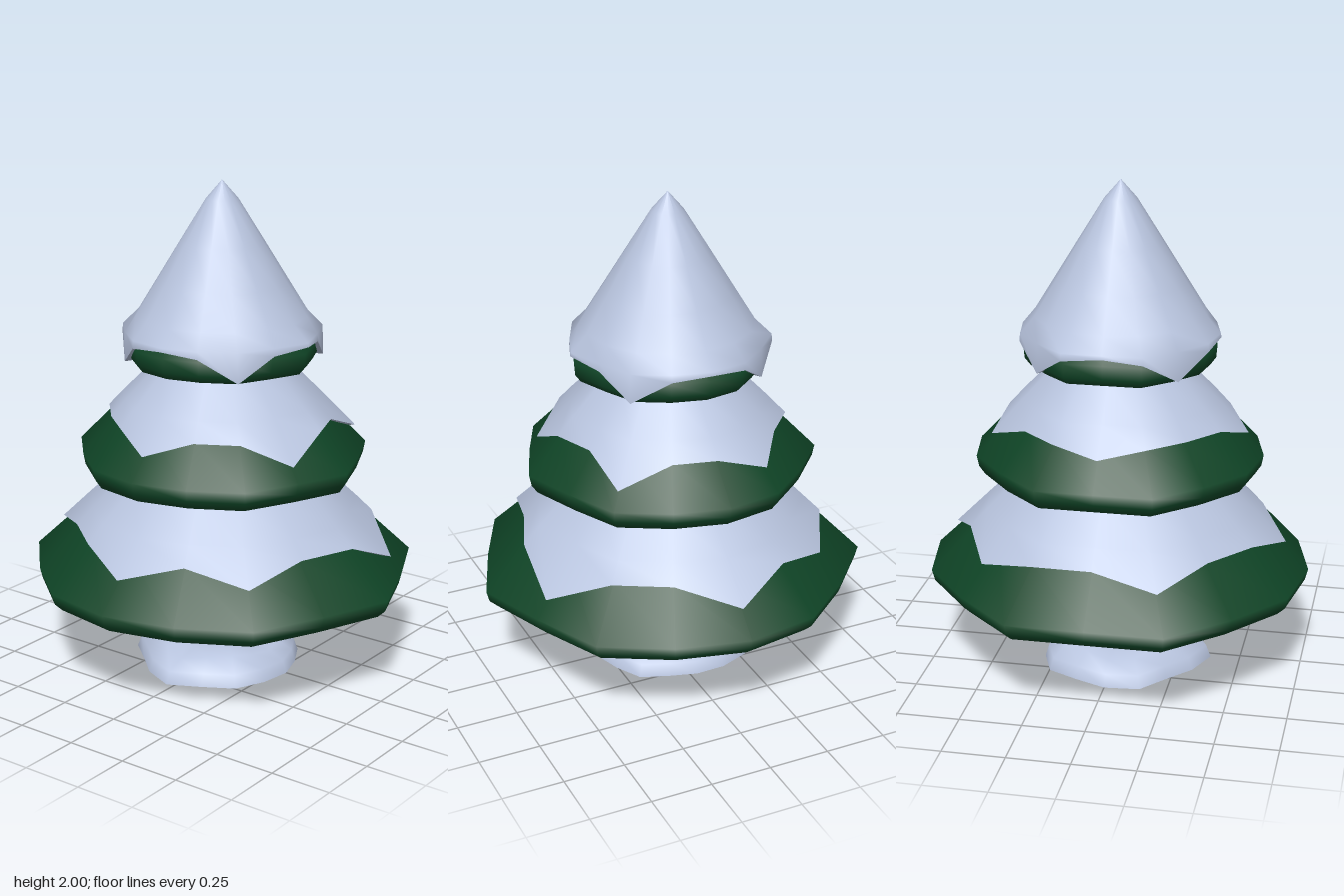
import * as THREE from 'three';

const SIDES = 16;
const AXIS_X = -0.03;

// Relative radius of the uneven outline, mirrored front to back
const HALF = [1, 0.932, 0.988, 0.95, 0.965, 0.975, 0.94, 1, 0.925];
const wobble = k => HALF[k <= 8 ? k : 16 - k];

// Skin a stack of rings (top to bottom); each ring is k => [radius, y]
function loft(rings) {
  const pos = [], idx = [];
  rings.forEach((ring, i) => {
    for (let k = 0; k < SIDES; k++) {
      const [r, y] = ring(k), a = (k / SIDES) * Math.PI * 2;
      pos.push(r * Math.cos(a), y, r * Math.sin(a));
      if (i === rings.length - 1) continue;
      const p = i * SIDES + k, q = i * SIDES + (k + 1) % SIDES;
      idx.push(p, q, p + SIDES, q, q + SIDES, p + SIDES);
    }
  });
  const g = new THREE.BufferGeometry();
  g.setAttribute('position', new THREE.Float32BufferAttribute(pos, 3));
  g.setIndex(idx);
  g.computeVertexNormals();
  return g;
}

const uneven = (r, y) => k => [r * wobble(k), y];
const round = (r, y) => () => [r, y];

export function createModel() {
  const snow = new THREE.MeshStandardMaterial({ color: 0xb9c5df, side: THREE.DoubleSide });
  snow.name = 'snow';
  const needles = new THREE.MeshStandardMaterial({ color: 0x0f4426 });
  needles.name = 'pine green';
  const bark = new THREE.MeshStandardMaterial({ color: 0x410e0e });
  bark.name = 'bark';

  const tree = new THREE.Group();
  tree.name = 'snowyTree';
  const add = (name, geometry, material) => {
    const m = new THREE.Mesh(geometry, material);
    m.name = name;
    m.position.x = AXIS_X;
    tree.add(m);
    return m;
  };

  // Two lower tiers: a sloping skirt of branches with a jagged snow blanket
  const tiers = [
    { name: 'lower', r: 0.8, bottom: 0.355, rim: 0.43, slope: 1.0625, top: 1.0, edge: 0.61,
      dips: { 2: 0.555, 4: 0.545, 7: 0.56, 10: 0.55, 12: 0.53, 15: 0.5 } },
    { name: 'middle', r: 0.6, bottom: 0.83, rim: 0.91, slope: 0.986, top: 1.4, edge: 1.06,
      dips: { 1: 0.97, 4: 1.0, 8: 1.02, 11: 1.0, 14: 0.98 } },
  ];
  for (const t of tiers) {
    const radius = y => t.r - (y - t.rim) * t.slope;
    add(t.name + 'Branches', loft([
      round(0, t.top),
      uneven(radius(t.top), t.top),
      uneven(radius(t.edge), t.edge),
      uneven(t.r, t.rim),
      uneven(t.r * 0.985, t.rim - 0.045),
      uneven(t.r * 0.945, t.bottom),
      uneven(t.r * 0.8, t.bottom),
      round(0, t.bottom),
    ]), needles);

    const edgeY = k => t.dips[k] ?? t.edge;
    const cover = (y, off, k) => [radius(y) * wobble(k) + off, y];
    add(t.name + 'Snow', loft([
      k => cover(t.top, 0.02, k),
      k => cover(t.edge + 0.2, 0.026, k),
      k => cover(t.edge + 0.07, 0.028, k),
      k => cover(edgeY(k), 0.024, k),
    ]), snow);
    // Lip tucked under the snow edge
    add(t.name + 'SnowLip', loft([
      k => cover(edgeY(k), 0.024, k),
      k => cover(edgeY(k), -0.02, k),
    ]), snow);
  }

  // Top tier, nearly hidden by its cap
  add('topBranches', loft([
    round(0, 1.88), uneven(0.33, 1.44), uneven(0.4, 1.36), uneven(0.395, 1.305),
    uneven(0.372, 1.275), uneven(0.3, 1.275), round(0, 1.275),
  ]), needles);

  // Snow cap with a drooping corner on each diagonal
  const capY = k => (k % 4 === 2 ? 1.285 : k % 4 === 0 ? 1.39 : 1.375);
  const capEdge = k => [0.4 * wobble(k) + 0.015, capY(k)];
  add('topSnow', loft([
    round(0, 2), round(0.065, 1.925), round(0.17, 1.755), round(0.265, 1.6), round(0.345, 1.47),
    k => [0.4 * wobble(k) + 0.012, 1.405], capEdge,
  ]), snow);
  add('topSnowLip', loft([capEdge, k => [0.37 * wobble(k), capY(k) + 0.005]]), snow);

  // Trunk, flaring into the ground
  const trunk = new THREE.LatheGeometry(
    [[0, 0.003], [0.16, 0.003], [0.16, 0.003], [0.112, 0.1], [0.09, 0.37]].map(p => new THREE.Vector2(...p)), 8);
  add('trunk', trunk, bark).position.x = -0.022;

  // Lumpy hollow snow mound around the foot
  const foot = [0.325, 0.33, 0.35, 0.34, 0.38, 0.35, 0.33, 0.37, 0.355, 0.33, 0.35, 0.32, 0.3, 0.29, 0.32, 0.31];
  const lump = k => 0.012 * Math.cos(k * Math.PI / 2 - Math.PI);
  add('snowMound', loft([
    k => [0.09, 0.095 + lump(k) * 0.5],
    k => [foot[k] * 0.48, 0.112 + lump(k)],
    k => [foot[k] * 0.75, 0.092 + lump(k)],
    k => [foot[k] * 0.95, 0.05],
    k => [foot[k], 0],
  ]), snow);

  return tree;
}
